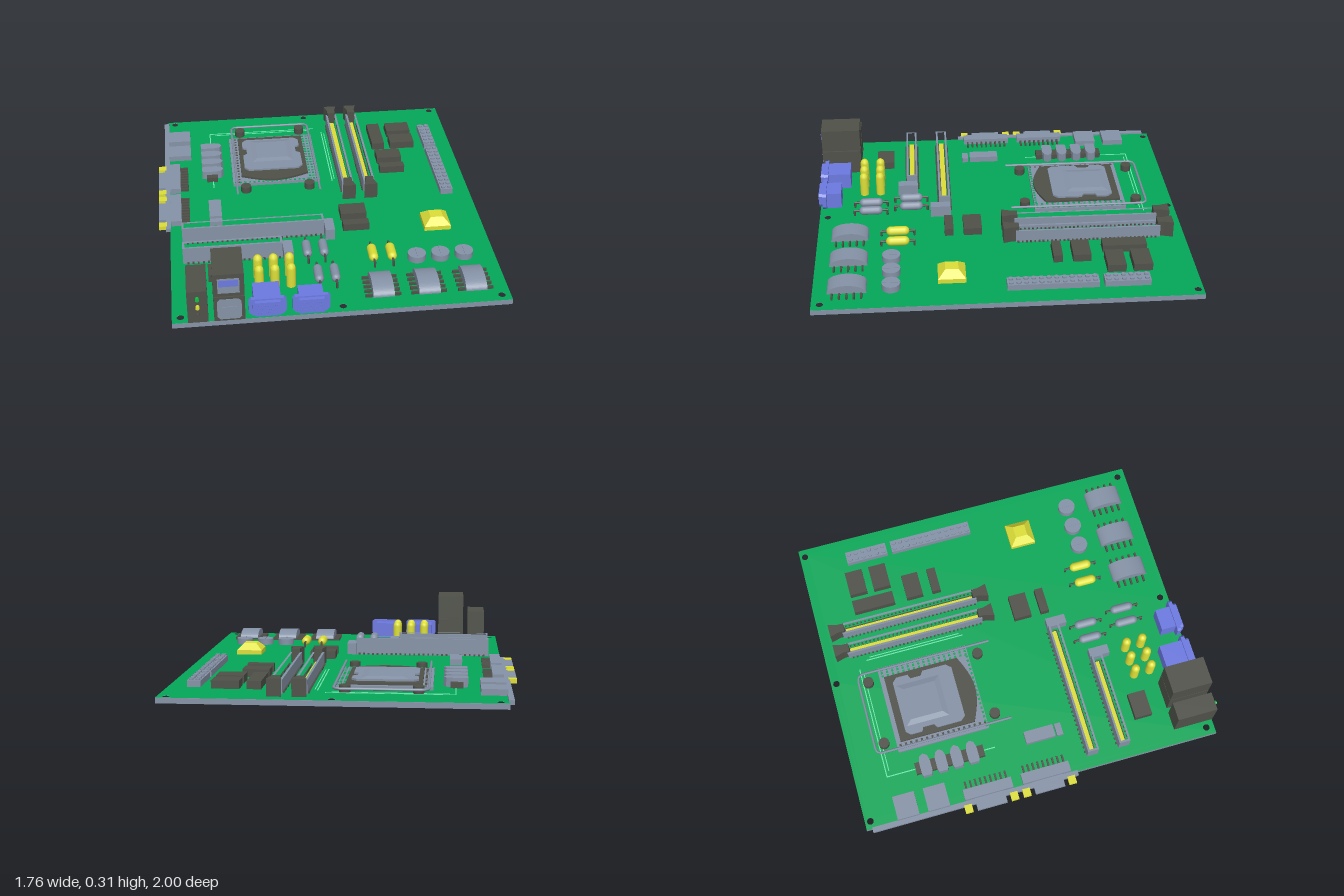
import * as THREE from 'three';

const mat = (name, color) => Object.assign(new THREE.MeshStandardMaterial({ color }), { name });
const GREEN = mat('board green', 0x04a758);
const UNDER = mat('underside green', 0x06d83c);
const TRACE = mat('pale trace green', 0x70f0b0);
const GRAY = mat('steel gray', 0x8592a6);
const DARK = mat('dark plastic', 0x4f5149);
const YELLOW = mat('yellow', 0xdcde38);
const BLUE = mat('blue', 0x6c79e0);
const LED = mat('lamp green', 0x0fc040);

const T = 0.03; // top face of the board

export function createModel() {
  const root = new THREE.Group();
  root.name = 'circuitBoard';
  const parts = new THREE.Group();
  parts.name = 'components';
  parts.position.set(0.002, 0, 0.005);
  root.add(parts);

  const add = (name, geo, m, x = 0, y = 0, z = 0, parent = parts) => {
    const mesh = new THREE.Mesh(geo, m);
    mesh.name = name;
    mesh.position.set(x, y, z);
    parent.add(mesh);
    return mesh;
  };
  // box given by its limits
  const box = (name, m, x0, x1, y0, y1, z0, z1) =>
    add(name, new THREE.BoxGeometry(x1 - x0, y1 - y0, z1 - z0), m, (x0 + x1) / 2, (y0 + y1) / 2, (z0 + z1) / 2);
  const cyl = (name, m, r, y0, y1, x, z, n = 20) =>
    add(name, new THREE.CylinderGeometry(r, r, y1 - y0, n), m, x, (y0 + y1) / 2, z);
  // outline in x, z raised from y0 to y1, with an optional hole
  const slab = (name, m, pts, y0, y1, hole) => {
    const s = new THREE.Shape(pts.map(([x, z]) => new THREE.Vector2(x, -z)));
    if (hole) s.holes.push(new THREE.Path(hole.map(([x, z]) => new THREE.Vector2(x, -z))));
    const g = new THREE.ExtrudeGeometry(s, { depth: y1 - y0, bevelEnabled: false });
    return add(name, g.rotateX(-Math.PI / 2), m, 0, y0, 0);
  };
  const rect = (x0, x1, z0, z1) => [[x0, z0], [x1, z0], [x1, z1], [x0, z1]];
  // hollow slot with a dark floor and a yellow contact strip deep inside
  const slot = (name, x0, x1, z0, z1, y1, wall, strip) => {
    slab(name + 'Walls', GRAY, rect(x0, x1, z0, z1), T, y1, rect(x0 + wall, x1 - wall, z0 + wall, z1 - wall));
    box(name + 'Floor', DARK, x0 + wall, x1 - wall, T, 0.045, z0 + wall, z1 - wall);
    box(name + 'Contacts', YELLOW, x0 + strip, x1 - strip, 0.045, 0.05, z0 + strip, z1 - strip);
  };
  // outline in x, y pushed along z
  const profile = (name, m, pts, z0, z1) => {
    const s = new THREE.Shape(pts.map(([x, y]) => new THREE.Vector2(x, y)));
    return add(name, new THREE.ExtrudeGeometry(s, { depth: z1 - z0, bevelEnabled: false }), m, 0, 0, z0);
  };

  // board with six mounting holes
  const boardShape = (sign) => {
    const s = new THREE.Shape(rect(-0.82, 0.876, -1, 0.981).map(([x, z]) => new THREE.Vector2(x, sign * z)));
    for (const x of [-0.778, 0.026, 0.83]) for (const z of [-0.97, 0.937])
      s.holes.push(new THREE.Path().absarc(x, sign * z, 0.018, 0, Math.PI * 2, true));
    return s;
  };
  add('boardCore', new THREE.ExtrudeGeometry(boardShape(-1), { depth: T - 0.002, bevelEnabled: false, curveSegments: 16 })
    .rotateX(-Math.PI / 2), GRAY, 0, 0.001, 0, root);
  add('boardTop', new THREE.ShapeGeometry(boardShape(-1), 16).rotateX(-Math.PI / 2), GREEN, 0, T, 0, root);
  add('boardUnderside', new THREE.ShapeGeometry(boardShape(1), 16).rotateX(Math.PI / 2), UNDER, 0, 0, 0, root);

  // pale traces around the processor
  for (const [x0, x1, z0, z1] of [[-0.57, 0.07, -0.833, -0.827], [-0.54, 0.04, -0.815, -0.81], [-0.572, -0.566, -0.83, -0.22],
    [0.11, 0.116, -0.78, -0.22], [0.125, 0.13, -0.76, -0.24]]) box('trace', TRACE, x0, x1, T, T + 0.002, z0, z1);

  // rear connector strip on the right edge
  box('edgePlate', GRAY, -0.845, -0.817, 0.018, 0.04, -0.973, 0.175);
  for (const z of [-0.83, -0.66]) box('squareSocket', GRAY, -0.82, -0.69, T, 0.062, z, z + 0.12);
  for (const z of [-0.32, 0.005]) {
    box('portBody', GRAY, -0.815, -0.757, T, 0.062, z - 0.135, z + 0.135);
    box('portShell', GRAY, -0.882, -0.81, 0.018, 0.04, z - 0.083, z + 0.083);
    for (const s of [-1, 1]) box('portScrew', YELLOW, -0.882, -0.838, 0.019, 0.041, z + s * 0.128 - 0.021, z + s * 0.128 + 0.021);
    for (let i = -4; i <= 4; i++) box('portPin', DARK, -0.76, -0.712, T, 0.045, z + i * 0.028 - 0.005, z + i * 0.028 + 0.005);
  }
  box('smallConnector', GRAY, -0.605, -0.537, T, 0.062, -0.05, 0.115);
  box('smallConnectorEnd', GRAY, -0.605, -0.537, T, 0.055, 0.125, 0.16);

  // power chokes on a dark bar
  box('chokeBar', DARK, -0.605, -0.542, T, 0.058, -0.67, -0.285);
  for (const z of [-0.613, -0.525, -0.438, -0.35]) {
    const s = 0.03;
    slab('choke', GRAY, [[-0.63, z - s * 0.8], [-0.615, z - s], [-0.55, z - s], [-0.52, z - s * 0.7], [-0.507, z],
      [-0.52, z + s * 0.7], [-0.55, z + s], [-0.615, z + s], [-0.63, z + s * 0.8]], T, 0.078);
  }

  // processor socket
  box('socketFrame', GRAY, -0.457, 0.042, T, 0.048, -0.735, -0.222);
  const contact = (m, x, z) => box('socketContact', m, x - 0.006, x + 0.006, 0.048, 0.05, z - 0.006, z + 0.006);
  for (let i = 0; i < 17; i++) {
    const z = -0.715 + i * 0.03;
    for (const x of [-0.01, 0.01, 0.028]) contact(GREEN, x, z);
    contact(DARK, -0.42, z);
    contact(GREEN, -0.44 + i * 0.026, -0.232);
  }
  const front = [];
  for (let i = 0; i <= 12; i++) {
    const t = i / 12;
    front.push([-0.02 - 0.385 * t, -0.29 + 0.055 * Math.sin(Math.PI * t)]);
  }
  slab('processorBase', DARK, [[-0.405, -0.71], [-0.02, -0.71], ...front], 0.048, 0.06);
  slab('heatSpreader', GRAY, [[-0.36, -0.67], [-0.07, -0.67], [-0.045, -0.645], [-0.045, -0.58], [-0.07, -0.57], [-0.07, -0.51],
    [-0.045, -0.495], [-0.045, -0.36], [-0.07, -0.333], [-0.36, -0.333], [-0.383, -0.36], [-0.383, -0.495], [-0.36, -0.51],
    [-0.36, -0.57], [-0.383, -0.58], [-0.383, -0.645]], 0.06, 0.07);
  const frustum = (name, m, w0, w1, y0, y1, x, z) =>
    add(name, new THREE.CylinderGeometry(w1 * Math.SQRT1_2, w0 * Math.SQRT1_2, y1 - y0, 4, 1).rotateY(Math.PI / 4).toNonIndexed(),
      m, x, (y0 + y1) / 2, z).geometry.computeVertexNormals();
  frustum('heatSpreaderCrown', GRAY, 0.24, 0.18, 0.07, 0.077, -0.213, -0.535);
  for (const x of [-0.387, -0.024]) for (const z of [-0.8, -0.17]) cyl('socketScrew', DARK, 0.029, T, 0.066, x, z);
  const lever = new THREE.CurvePath();
  const wire = [[-0.437, -0.09], [-0.437, -0.83], [-0.42, -0.853], [0.012, -0.853], [0.03, -0.83], [0.03, -0.09]]
    .map(([x, z]) => new THREE.Vector3(x, 0.056, z));
  for (let i = 1; i < wire.length; i++) lever.add(new THREE.LineCurve3(wire[i - 1], wire[i]));
  add('retentionLever', new THREE.TubeGeometry(lever, 80, 0.007, 6), GRAY);

  // memory slots
  for (const [x, strip] of [[0.185, 0.016], [0.308, 0.02]]) {
    slot('memorySlot', x - 0.032, x + 0.032, -0.87, -0.09, 0.1, 0.012, strip);
    for (const [z, s] of [[-0.94, 1], [-0.022, -1]])
      slab('memoryLatch', DARK, [[x - 0.037, z], [x + 0.037, z], [x + 0.023, z + s * 0.05], [x + 0.023, z + s * 0.085],
        [x - 0.023, z + s * 0.085], [x - 0.023, z + s * 0.05]], T, 0.12);
    for (let i = 0; i < 34; i++) for (const s of [-1, 1])
      box('memoryPin', DARK, x + s * 0.0355 - 0.0035, x + s * 0.0355 + 0.0035, T, 0.04, -0.85 + i * 0.0225, -0.841 + i * 0.0225);
  }

  // expansion slots
  for (const [x1, z] of [[0.002, 0.281], [-0.237, 0.46]]) {
    slot('expansionSlot', -0.757, x1, z - 0.031, z + 0.031, 0.126, 0.011, 0.017);
    box('expansionClip', GRAY, x1 + 0.003, x1 + 0.054, T, 0.094, z - 0.031, z + 0.08);
    for (let x = -0.735; x < x1 - 0.02; x += 0.0265) for (const s of [-1, 1])
      box('expansionPin', DARK, x, x + 0.01, T, 0.04, z + s * 0.035 - 0.004, z + s * 0.035 + 0.004);
  }

  // flat chips
  for (const [x0, x1, z0, z1] of [[0.395, 0.468, -0.776, -0.54], [0.505, 0.648, -0.776, -0.677], [0.505, 0.648, -0.638, -0.54],
    [0.4, 0.543, -0.469, -0.374], [0.4, 0.543, -0.319, -0.27], [0.11, 0.252, 0.088, 0.187], [0.11, 0.252, 0.242, 0.29],
    [-0.632, -0.49, 0.565, 0.662]]) box('chip', DARK, x0, x1, T, 0.072, z0, z1);

  // power headers with two rows of pegs
  for (const [z0, z1, n] of [[-0.745, -0.508, 6], [-0.48, -0.01, 12]]) {
    box('header', GRAY, 0.706, 0.776, T, 0.063, z0, z1);
    for (let i = 0; i < n; i++) for (const x of [0.724, 0.758])
      cyl('headerPeg', GRAY, 0.012, 0.063, 0.072, x, z0 + (z1 - z0) * (i + 0.5) / n, 10);
  }

  // arched driver chips with pins
  for (const x of [0.235, 0.468, 0.706]) {
    const arch = new THREE.Shape();
    arch.moveTo(-0.1, 0.012);
    arch.lineTo(0.1, 0.012);
    arch.absellipse(0, 0.012, 0.1, 0.046, 0, Math.PI, false);
    add('archedChip', new THREE.ExtrudeGeometry(arch, { depth: 0.108, bevelEnabled: false, curveSegments: 16 })
      .rotateY(Math.PI / 2), GRAY, x - 0.054, T, 0.8);
    for (let i = -2; i <= 2; i++) box('archedChipPin', DARK, x - 0.09, x + 0.09, T, 0.046, 0.795 + i * 0.037, 0.805 + i * 0.037);
  }

  // round capacitors with a ridge across the top
  for (const x of [0.459, 0.584, 0.71]) {
    cyl('roundCapacitor', GRAY, 0.048, T, 0.065, x, 0.577, 24);
    box('capacitorRidge', GRAY, x - 0.003, x + 0.003, 0.065, 0.067, 0.532, 0.622);
  }

  // lying resistors with wire leads
  const resistor = (name, m, x, z, len, r) => {
    add(name, new THREE.CapsuleGeometry(r, len - 2 * r, 6, 14).rotateX(Math.PI / 2), m, x, 0.06, z);
    add('resistorLead', new THREE.CylinderGeometry(0.006, 0.006, len + 0.06, 8).rotateX(Math.PI / 2), DARK, x, 0.06, z);
    for (const s of [-1, 1]) cyl('resistorLeg', DARK, 0.006, T, 0.062, x, z + s * (len / 2 + 0.026), 8);
  };
  for (const x of [0.23, 0.328]) resistor('yellowResistor', YELLOW, x, 0.543, 0.125, 0.025);
  for (const [x, z] of [[-0.108, 0.468], [-0.02, 0.468], [-0.072, 0.692], [0.013, 0.692]]) resistor('grayResistor', GRAY, x, z, 0.13, 0.024);

  // yellow heat sink
  box('heatSinkBase', YELLOW, 0.548, 0.692, T, 0.055, 0.194, 0.338);
  frustum('heatSinkTop', YELLOW, 0.144, 0.068, 0.055, 0.092, 0.62, 0.266);

  // upright capacitors
  for (const x of [-0.378, -0.298, -0.216]) for (const z of [0.642, 0.733])
    add('uprightCapacitor', new THREE.LatheGeometry([[0, 0.135], [0.012, 0.132], [0.021, 0.122], [0.024, 0.108], [0.024, 0]]
      .reverse().map(([r, y]) => new THREE.Vector2(r, y)), 16), YELLOW, x, T, z);

  // lamp box
  box('lampBox', DARK, -0.743, -0.643, T, 0.216, 0.757, 0.978);
  [[0.176, LED], [0.127, YELLOW], [0.08, DARK]].forEach(([y, m]) =>
    add('lamp', new THREE.CylinderGeometry(0.01, 0.01, 0.03, 12).rotateX(Math.PI / 2), m, -0.693, y, 0.98));

  // stacked network and data sockets
  box('upperSocket', DARK, -0.615, -0.463, 0.178, 0.308, 0.757, 0.978);
  box('lowerSocket', DARK, -0.615, -0.463, T, 0.172, 0.757, 0.978);
  box('socketSpacer', DARK, -0.605, -0.473, 0.172, 0.178, 0.765, 0.965);
  box('upperSocketFace', GRAY, -0.593, -0.486, 0.197, 0.283, 0.978, 0.98);
  box('upperSocketTongue', BLUE, -0.588, -0.492, 0.238, 0.275, 0.98, 0.983);
  profile('lowerSocketFace', GRAY, [[-0.585, 0.04], [-0.493, 0.04], [-0.479, 0.056], [-0.479, 0.145], [-0.493, 0.16],
    [-0.585, 0.16], [-0.599, 0.145], [-0.599, 0.056]], 0.978, 0.98);
  box('lowerSocketTongue', GRAY, -0.575, -0.503, 0.065, 0.115, 0.98, 0.983);

  // blue display ports
  for (const [x, z0, w] of [[-0.352, 0.813, 0.067], [-0.136, 0.858, 0.061]]) {
    const trap = (a, b, y0, y1) => [[x - b, y0], [x + b, y0], [x + a, y0 + 0.02], [x + a, y1 - 0.012], [x + a - 0.012, y1],
      [x - a + 0.012, y1], [x - a, y1 - 0.012], [x - a, y0 + 0.02]];
    box('displayPortBody', BLUE, x - w, x + w, T, 0.122, z0, 0.945);
    profile('displayPortFlange', BLUE, trap(0.093, 0.075, 0.035, 0.132), 0.94, 0.962);
    profile('displayPortShell', BLUE, trap(0.074, 0.06, 0.042, 0.124), 0.962, 0.982);
    for (let r = 0; r < 3; r++) for (let i = -2; i <= 2; i++)
      add('displayPortContact', new THREE.CylinderGeometry(0.006, 0.006, 0.004, 8).rotateX(Math.PI / 2), BLUE,
        x + i * 0.023 + (r - 1) * 0.006, 0.063 + r * 0.02, 0.983);
  }
  return root;
}
